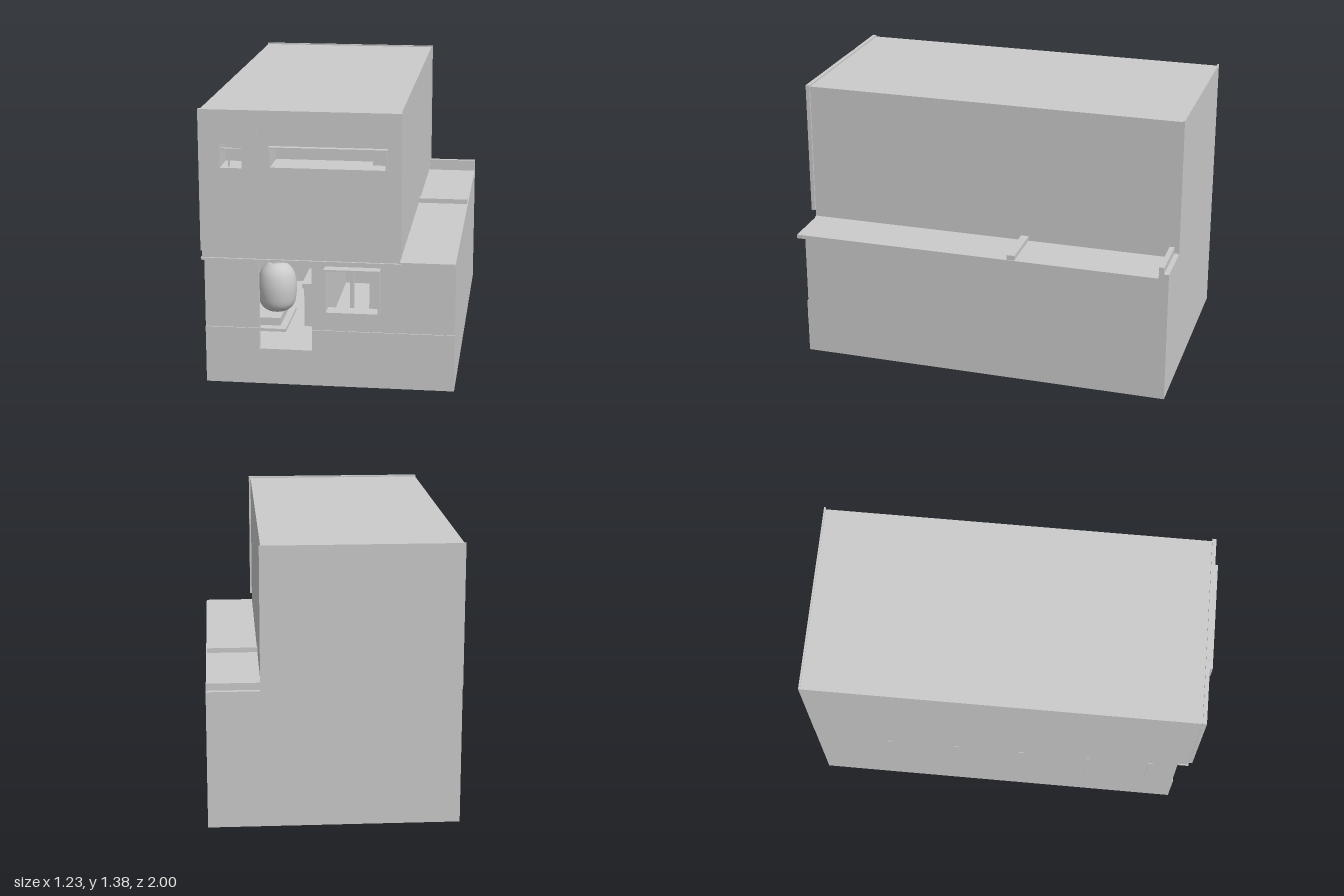
import * as THREE from 'three';

const grey = new THREE.MeshStandardMaterial({ color: 0xcccccc, side: THREE.DoubleSide });

export function createModel() {
  const model = new THREE.Group();

  const add = (name, geometry, parent = model) => {
    const mesh = new THREE.Mesh(geometry, grey);
    mesh.name = name;
    parent.add(mesh);
    return mesh;
  };
  // Box given by its two extreme corners
  const box = (name, [x0, y0, z0], [x1, y1, z1], parent) => {
    const mesh = add(name, new THREE.BoxGeometry(x1 - x0, y1 - y0, z1 - z0), parent);
    mesh.position.set((x0 + x1) / 2, (y0 + y1) / 2, (z0 + z1) / 2);
    return mesh;
  };
  const rectangle = (Type, x0, y0, x1, y1) => {
    const path = new Type();
    path.moveTo(x0, y0);
    path.lineTo(x1, y0);
    path.lineTo(x1, y1);
    path.lineTo(x0, y1);
    path.closePath();
    return path;
  };
  // Upright panel with rectangular holes, between two depths
  const panel = (name, outer, holes, z0, z1) => {
    const shape = rectangle(THREE.Shape, ...outer);
    holes.forEach((h) => shape.holes.push(rectangle(THREE.Path, ...h)));
    const geometry = new THREE.ExtrudeGeometry(shape, { depth: z1 - z0, bevelEnabled: false });
    return add(name, geometry.translate(0, 0, z0));
  };

  const door = [-0.345, 0.18, -0.085, 0.635];
  const shopWindow = [-0.01, 0.395, 0.24, 0.6];
  const smallWindow = [-0.51, 1.1, -0.405, 1.215];
  const longWindow = [-0.265, 1.115, 0.28, 1.205];

  // Ground storey: solid base, hollow rooms and roof slab
  box('foundation', [-0.61, 0, -1], [0.61, 0.18, 0.905]);
  box('leftWall', [-0.61, 0.18, -1], [-0.585, 0.635, 0.9]);
  box('rightWall', [0.585, 0.18, -1], [0.61, 0.635, 0.9]);
  box('rearWall', [-0.61, 0.18, -1], [0.61, 0.635, -0.975]);
  panel('groundFrontWall', [-0.605, 0.18, 0.605, 0.635], [door, shopWindow], 0.87, 0.9);
  box('frontPlinthLeft', [-0.61, 0.18, 0.87], [-0.345, 0.285, 0.906]);
  box('frontPlinthRight', [-0.085, 0.18, 0.87], [0.61, 0.285, 0.906]);
  box('groundRoof', [-0.61, 0.635, -1], [0.61, 0.655, 0.945]);
  box('canopyLip', [-0.615, 0.64, 0.9], [0.35, 0.65, 0.955]);

  // Low parapet and crossbar on the side terrace
  box('parapet', [0.35, 0.655, -0.975], [0.61, 0.715, -0.95]);
  box('parapetStep', [0.345, 0.655, -1], [0.61, 0.68, -0.975]);
  box('terraceCrossbar', [0.345, 0.655, -0.22], [0.605, 0.68, -0.18]);

  // Upper storey
  box('upperBody', [-0.61, 0.655, -1], [0.345, 1.372, 0.82]);
  panel('upperFrontWall', [-0.61, 0.655, 0.345, 1.372], [smallWindow, longWindow], 0.82, 0.95);
  panel('upperFacadeLeft', [-0.612, 0.69, -0.33, 1.38], [smallWindow], 0.95, 0.97);
  panel('upperFacadeRight', [-0.285, 0.69, 0.355, 1.38], [longWindow], 0.95, 0.97);
  box('facadeJoint', [-0.33, 0.69, 0.95], [-0.285, 1.38, 0.967]);
  box('rearPanel', [-0.612, 0.68, -1], [0.353, 1.38, -0.992]);

  // Window frames
  panel('longWindowFrame', [-0.272, 1.108, 0.287, 1.212], [longWindow], 0.96, 1);
  box('longWindowPost', [0.21, 1.115, 0.85], [0.28, 1.205, 0.9]);
  panel('shopWindowFrame', [-0.02, 0.385, 0.25, 0.61], [shopWindow], 0.87, 0.955);
  const bars = new THREE.Group();
  bars.name = 'smallWindowBars';
  model.add(bars);
  box('transom', [-0.51, 1.178, 0.925], [-0.405, 1.188, 0.94], bars);
  box('mullion', [-0.475, 1.1, 0.925], [-0.468, 1.178, 0.94], bars);

  // Entrance hall
  box('hallPartition', [-0.075, 0.18, -0.2], [-0.055, 0.635, 0.87]);
  box('hallBackWall', [-0.585, 0.18, -0.22], [0.585, 0.635, -0.2]);
  box('hallCupboard', [-0.345, 0.515, 0.3], [-0.19, 0.635, 0.5]);
  box('hallShelf', [-0.145, 0.56, 0.3], [-0.075, 0.635, 0.5]);
  box('hallCounter', [-0.175, 0.18, 0.3], [-0.075, 0.385, 0.55]);
  box('hallCounterTop', [-0.185, 0.385, 0.29], [-0.075, 0.408, 0.56]);
  box('lowStep', [-0.45, 0.18, 0.3], [-0.255, 0.195, 0.65]);
  box('highStep', [-0.45, 0.195, 0.3], [-0.29, 0.235, 0.6]);

  // Rounded tank with a cap
  const profile = [[0, 0.285], [0.05, 0.292], [0.085, 0.325], [0.097, 0.38], [0.097, 0.44],
    [0.082, 0.495], [0.05, 0.53], [0.026, 0.537], [0.026, 0.548], [0, 0.548]];
  const curve = new THREE.SplineCurve(profile.slice(0, 8).map((p) => new THREE.Vector2(...p)));
  const outline = [...curve.getPoints(28), ...profile.slice(8).map((p) => new THREE.Vector2(...p))];
  add('tank', new THREE.LatheGeometry(outline, 32)).position.set(-0.3, 0, 0.62);

  // Room behind the shop window
  box('roomPartition', [0.14, 0.18, 0.2], [0.3, 0.485, 0.4]);
  box('roomPost', [0.02, 0.18, 0.2], [0.04, 0.635, 0.24]);
  const lamp = new THREE.Group();
  lamp.name = 'hangingLamp';
  lamp.position.set(0.09, 0, 0.5);
  model.add(lamp);
  add('lampCord', new THREE.CylinderGeometry(0.003, 0.003, 0.06, 8), lamp).position.y = 0.605;
  add('lampShade', new THREE.CylinderGeometry(0.012, 0.04, 0.032, 24, 1, true), lamp).position.y = 0.56;

  // Shallow strips on the left flank
  [-0.61, -0.26, 0.08, 0.43, 0.76].forEach((z) => {
    box('flankStrip', [-0.613, 0.24, z - 0.012], [-0.609, 0.61, z + 0.012]);
  });
  return model;
}
